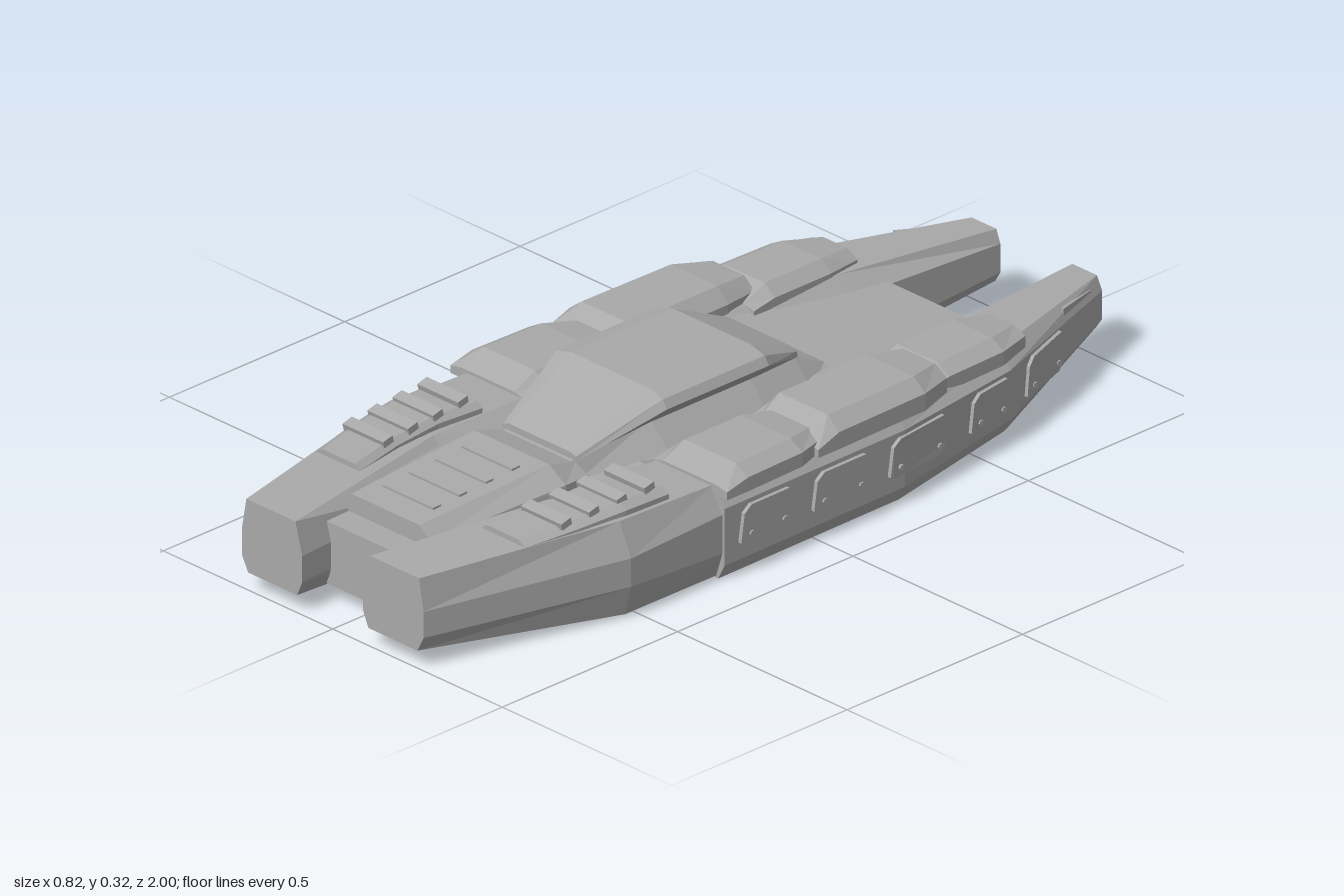
import * as THREE from 'three';

const hull = new THREE.MeshStandardMaterial({ color: 0xa9a9a9, flatShading: true });
hull.name = 'hull grey';

// Skin a list of [z, ring] sections (front to back); rings run counter-clockwise seen from the front.
function loft(sections) {
  const p = [];
  const tri = (...c) => c.forEach(([x, y, z]) => p.push(x, y, z));
  const rings = sections.map(([z, ring]) => ring.map(([x, y]) => [x, y, z]));
  const n = rings[0].length;
  for (let s = 0; s < rings.length - 1; s++) {
    for (let i = 0; i < n; i++) {
      const j = (i + 1) % n, f = rings[s], b = rings[s + 1];
      tri(f[i], b[j], f[j]);
      tri(f[i], b[i], b[j]);
    }
  }
  const front = rings[0], back = rings[rings.length - 1];
  for (let i = 1; i < n - 1; i++) {
    tri(front[0], front[i], front[i + 1]);
    tri(back[0], back[i + 1], back[i]);
  }
  const g = new THREE.BufferGeometry();
  g.setAttribute('position', new THREE.Float32BufferAttribute(p, 3));
  g.computeVertexNormals();
  return g;
}

// Mirrored copy across x = 0, keeping faces outward.
function mirror(geo) {
  const g = geo.index ? geo.toNonIndexed() : geo.clone();
  const a = g.attributes.position;
  for (let i = 0; i < a.count; i += 3) {
    const v = [0, 2, 1].map(k => [-a.getX(i + k), a.getY(i + k), a.getZ(i + k)]);
    v.forEach((c, k) => a.setXYZ(i + k, ...c));
  }
  g.computeVertexNormals();
  return g;
}

// Symmetric ring from right-half points listed bottom to top.
const sym = half => [...half, ...half.slice().reverse().map(([x, y]) => [-x, y])];

// Pod section: inner and outer wall, bottom and top, inner and outer top corner.
const podRing = (xi, xo, yb, yt, ti, to, low, high) => [
  [xi + 0.015, yb], [xo - 0.018, yb], [xo, low], [xo, high],
  [to, yt], [ti, yt], [xi, high], [xi, low]];

// Half-width of the pod's outer wall along its rear part.
const wall = [[0.27, 0.4], [-0.25, 0.395], [-0.6, 0.345], [-1, 0.2]];
function wallX(z) {
  for (let i = 0; i < wall.length - 1; i++) {
    const [za, xa] = wall[i], [zb, xb] = wall[i + 1];
    if (z >= zb) return xa + (xb - xa) * (za - z) / (za - zb);
  }
  return 0.2;
}

// Plate outlined in [z, y] that follows the outer wall.
function wallPlate(points, depth, inset = 0) {
  const shape = new THREE.Shape(points.map(([z, y]) => new THREE.Vector2(-z, y)));
  const g = new THREE.ExtrudeGeometry(shape, { depth, bevelEnabled: false });
  g.rotateY(Math.PI / 2);
  const a = g.attributes.position;
  for (let i = 0; i < a.count; i++) a.setX(i, a.getX(i) + wallX(a.getZ(i)) - inset);
  g.computeVertexNormals();
  return g;
}

// Armour tile with sloped ends and a skirt over the outer edge.
function armour(z0, z1, xi, xo, y, base) {
  const ring = (i, o, top) => [
    [i, base - 0.01], [o, base - 0.012], [o, base + (top - base) * 0.5],
    [o - 0.035, top], [i + 0.03, top], [i, base + (top - base) * 0.4]];
  return loft([
    [z0, ring(xi, xo, base + 0.012)],
    [z0 - 0.06, ring(xi, xo, y)],
    [z1 + 0.09, ring(xi, xo - 0.005, y)],
    [z1, ring(xi + 0.015, xo - 0.035, y - 0.012)]]);
}

export function createModel() {
  const ship = new THREE.Group();
  ship.name = 'spaceship';
  const add = (name, geo) => {
    const m = new THREE.Mesh(geo, hull);
    m.name = name;
    ship.add(m);
  };
  const pair = (name, geo) => {
    add('left ' + name, geo);
    add('right ' + name, mirror(geo));
  };
  const bar = (w, h, d, x, y, z, tilt) =>
    new THREE.BoxGeometry(w, h, d).rotateX(tilt).translate(x, y, z);

  // Long side pods, with a slightly larger rear part
  pair('front pod', loft([
    [1, podRing(0.09, 0.268, 0.04, 0.207, 0.11, 0.255, 0.075, 0.135)],
    [0.53, podRing(0.11, 0.394, 0.006, 0.213, 0.19, 0.36, 0.075, 0.14)],
    [0.26, podRing(0.11, 0.394, 0.005, 0.205, 0.2, 0.36, 0.06, 0.15)]]));
  pair('rear pod', loft([
    [0.27, podRing(0.1, 0.4, 0, 0.208, 0.2, 0.37, 0.035, 0.165)],
    [-0.25, podRing(0.1, 0.395, 0, 0.205, 0.2, 0.365, 0.035, 0.165)],
    [-0.6, podRing(0.12, 0.345, 0.018, 0.2, 0.165, 0.31, 0.05, 0.163)],
    [-1, podRing(0.1, 0.2, 0.065, 0.185, 0.112, 0.185, 0.09, 0.155)]]));

  // Central hull
  add('central hull', loft([
    [0.915, sym([[0.13, 0.038], [0.13, 0.18]])],
    [0.53, sym([[0.19, 0.008], [0.2, 0.18]])],
    [-0.25, sym([[0.19, 0.006], [0.2, 0.195]])],
    [-0.7, sym([[0.14, 0.025], [0.14, 0.165]])]]));

  // Front deck with cross slats
  add('front deck', loft([
    [0.85, sym([[0.14, 0.17], [0.135, 0.195], [0.1, 0.222]])],
    [0.49, sym([[0.165, 0.17], [0.16, 0.21], [0.11, 0.24]])],
    [0.41, sym([[0.15, 0.17], [0.145, 0.2], [0.105, 0.216]])]]));
  for (let i = 0; i < 4; i++)
    add('deck slat', bar(0.15, 0.012, 0.022, 0, 0.236 - i * 0.0038, 0.55 + i * 0.075, 0.05));

  // Bridge base and overhanging bridge
  add('bridge base', loft([
    [0.42, sym([[0.12, 0.18], [0.1, 0.218]])],
    [0.2, sym([[0.17, 0.18], [0.11, 0.245]])],
    [-0.08, sym([[0.17, 0.18], [0.11, 0.245]])],
    [-0.22, sym([[0.15, 0.18], [0.1, 0.235]])],
    [-0.3, sym([[0.14, 0.18], [0.105, 0.2]])]]));
  const bridgeRing = sym([[0.11, 0.236], [0.169, 0.29], [0.157, 0.309], [0.115, 0.32]]);
  add('bridge', loft([
    [0.41, sym([[0.095, 0.212], [0.11, 0.22], [0.107, 0.229], [0.09, 0.234]])],
    [0.21, bridgeRing],
    [-0.08, bridgeRing],
    [-0.215, sym([[0.09, 0.232], [0.115, 0.245], [0.112, 0.256], [0.09, 0.262]])]]));

  // Armour tiles along the pod tops
  pair('front armour', armour(0.27, -0.04, 0.19, 0.408, 0.24, 0.2));
  pair('middle armour', armour(0.0, -0.4, 0.19, 0.398, 0.254, 0.2));
  pair('rear armour', armour(-0.36, -0.67, 0.165, 0.35, 0.232, 0.193));

  // Stepped plates and slats on the front pods
  const plate = (a, b, y) => [[a, 0.19], [b, 0.19], [b, y - 0.012], [b - 0.02, y], [a + 0.015, y], [a, y - 0.012]];
  pair('pod plate', loft([
    [0.75, plate(0.18, 0.31, 0.222)],
    [0.62, plate(0.2, 0.335, 0.23)],
    [0.5, plate(0.205, 0.35, 0.236)],
    [0.38, plate(0.2, 0.35, 0.232)]]));
  for (let i = 0; i < 4; i++)
    pair('pod slat', bar(0.12, 0.016, 0.028, 0.275 - i * 0.004, 0.242 - i * 0.003, 0.42 + i * 0.075, 0.25));

  // Side hatches with rivets, and a narrow vent near the stern
  [[0.23, 0.06], [0.02, -0.16], [-0.2, -0.4], [-0.46, -0.61], [-0.66, -0.84]].forEach(([a, b]) => {
    pair('side hatch', wallPlate([
      [a, 0.075], [a - 0.01, 0.14], [a - 0.03, 0.155], [b + 0.03, 0.155],
      [b, 0.13], [b + 0.02, 0.09], [b + 0.04, 0.07], [a - 0.01, 0.07]], 0.009));
    [a - 0.03, b + 0.045].forEach(z => pair('rivet',
      new THREE.CylinderGeometry(0.007, 0.007, 0.006, 6).rotateZ(Math.PI / 2)
        .translate(wallX(z) + 0.01, 0.09, z)));
  });
  pair('stern vent', wallPlate([[-0.84, 0.187], [-0.84, 0.17], [-0.96, 0.168], [-0.96, 0.173]], 0.008, 0.014));

  return ship;
}
